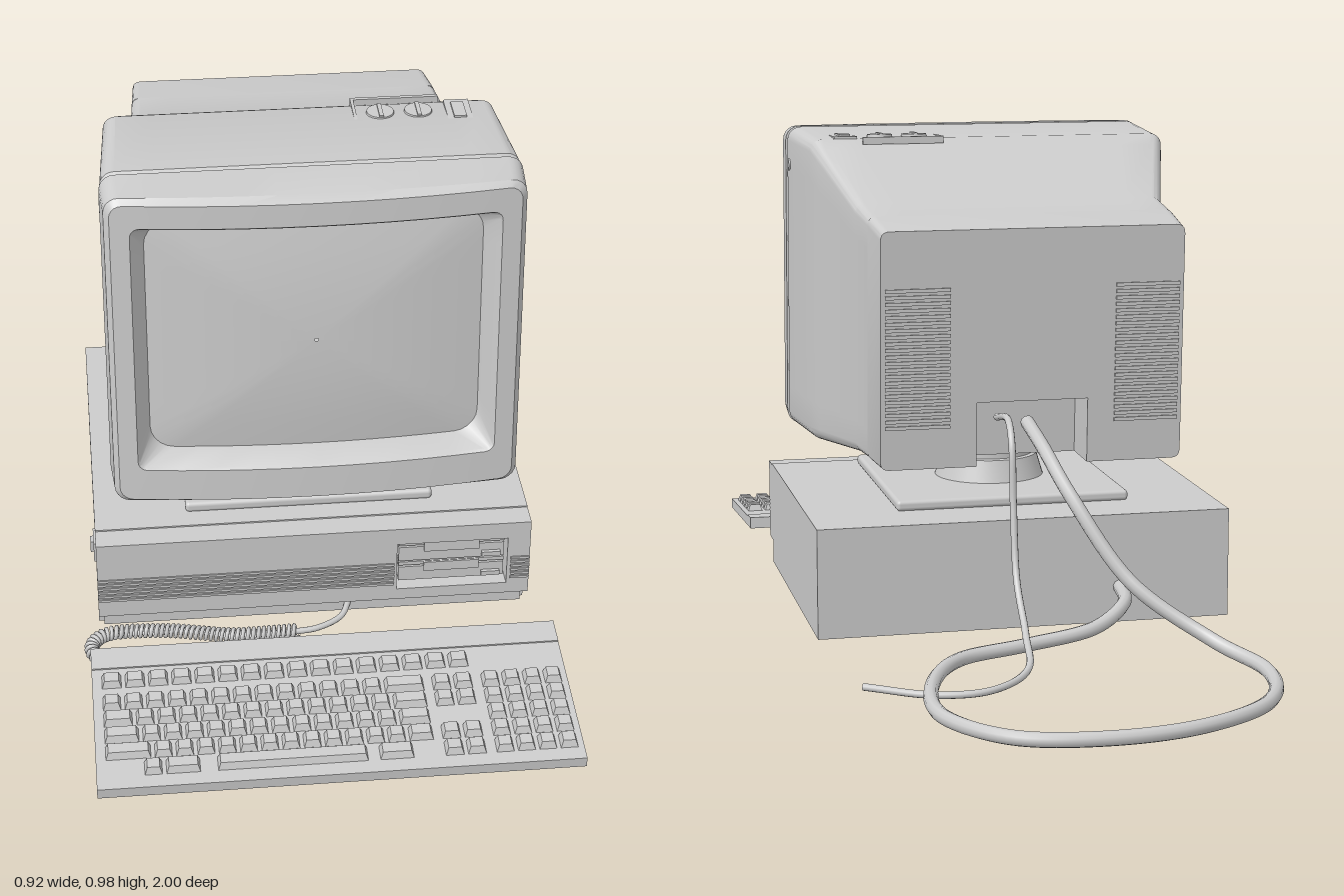
import * as THREE from 'three';
import { mergeGeometries, toCreasedNormals } from 'three/addons/utils/BufferGeometryUtils.js';
import { RoundedBoxGeometry } from 'three/addons/geometries/RoundedBoxGeometry.js';

const mat = new THREE.MeshStandardMaterial({ color: 0xcccccc });

function add(parent, name, geo, x = 0, y = 0, z = 0) {
  const m = new THREE.Mesh(geo, mat);
  m.name = name;
  m.position.set(x, y, z);
  parent.add(m);
  return m;
}
const box = (w, h, d) => new THREE.BoxGeometry(w, h, d);
// box given by its limits
function span(parent, name, x0, x1, y0, y1, z0, z1) {
  return add(parent, name, box(x1 - x0, y1 - y0, z1 - z0), (x0 + x1) / 2, (y0 + y1) / 2, (z0 + z1) / 2);
}
const tilt = (y) => -0.05 * (y - 0.65); // backward lean of the monitor

// rounded rectangle ring [halfWidth, yLow, yHigh, radius, z, bulge]
function ring([hw, y0, y1, r, z, bulge = 0]) {
  const c = [[hw - r, y1 - r], [r - hw, y1 - r], [r - hw, y0 + r], [hw - r, y0 + r]];
  const arc = (i, k) => {
    const a = (i + k / 5) * Math.PI / 2;
    return [c[i][0] + r * Math.cos(a), c[i][1] + r * Math.sin(a)];
  };
  const pts = [];
  for (let i = 0; i < 4; i++) {
    for (let k = 0; k <= 5; k++) pts.push(arc(i, k));
    const a = arc(i, 5), b = arc((i + 1) % 4, 0);
    for (let j = 1; j < 10; j++) pts.push([a[0] + (b[0] - a[0]) * j / 10, a[1] + (b[1] - a[1]) * j / 10]);
  }
  return pts.map(([x, y]) => [x, y, z + bulge * (1 - (x / 0.39) ** 2) + tilt(y)]);
}

// skin over rings running from the screen outwards and backwards
function loft(defs, cap = false, crease = 0.45) {
  const rings = defs.map(ring), pos = [], n = rings[0].length;
  for (let i = 0; i < rings.length - 1; i++) {
    for (let j = 0; j < n; j++) {
      const k = (j + 1) % n;
      const a = rings[i][j], b = rings[i][k], c = rings[i + 1][j], d = rings[i + 1][k];
      pos.push(...a, ...c, ...b, ...b, ...c, ...d);
    }
  }
  if (cap) {
    const last = rings[rings.length - 1], [, y0, y1, , z] = defs[defs.length - 1], m = (y0 + y1) / 2;
    last.forEach((a, j) => pos.push(0, m, z + tilt(m), ...last[(j + 1) % n], ...a));
  }
  const g = new THREE.BufferGeometry();
  g.setAttribute('position', new THREE.Float32BufferAttribute(pos, 3));
  return toCreasedNormals(g, crease);
}

function cable(parent, name, pts, r, seg = 120) {
  const curve = new THREE.CatmullRomCurve3(pts.map((p) => new THREE.Vector3(...p)));
  return add(parent, name, new THREE.TubeGeometry(curve, seg, r, 10));
}

function buildMonitor() {
  const g = new THREE.Group();
  g.name = 'monitor';
  // curved glass
  add(g, 'screen', loft([0.01, 0.25, 0.5, 0.75, 1].map((s) =>
    [0.32 * s, 0.66 - 0.245 * s, 0.66 + 0.245 * s, 0.045 * s, 0.455 + 0.02 * (1 - s * s), 0.028]), false, 1));
  add(g, 'bezel', loft([
    [0.315, 0.42, 0.902, 0.045, 0.455, 0.028], [0.338, 0.406, 0.915, 0.015, 0.505, 0.028],
    [0.342, 0.402, 0.919, 0.018, 0.51, 0.028], [0.378, 0.336, 0.965, 0.025, 0.51, 0.028],
    [0.388, 0.326, 0.975, 0.03, 0.5, 0.02], [0.393, 0.322, 0.98, 0.03, 0.425],
    [0.386, 0.329, 0.973, 0.025, 0.423], [0.386, 0.329, 0.973, 0.025, 0.415]]));
  add(g, 'shell', loft([
    [0.386, 0.329, 0.973, 0.025, 0.415], [0.391, 0.324, 0.979, 0.028, 0.411],
    [0.377, 0.333, 0.97, 0.025, 0.18], [0.366, 0.335, 0.95, 0.025, 0.14],
    [0.318, 0.345, 0.857, 0.02, -0.03], [0.312, 0.35, 0.843, 0.018, -0.14]], true));

  // rear housing with a cable notch open at the bottom
  const s = new THREE.Shape();
  const w = 0.312, y0 = 0.35, y1 = 0.843, r = 0.018;
  s.moveTo(0.115, y0).lineTo(w - r, y0).quadraticCurveTo(w, y0, w, y0 + r).lineTo(w, y1 - r)
    .quadraticCurveTo(w, y1, w - r, y1).lineTo(r - w, y1).quadraticCurveTo(-w, y1, -w, y1 - r)
    .lineTo(-w, y0 + r).quadraticCurveTo(-w, y0, r - w, y0).lineTo(-0.115, y0)
    .lineTo(-0.115, 0.48).lineTo(0.115, 0.48).closePath();
  const rear = new THREE.ExtrudeGeometry(s, { depth: 0.11, bevelEnabled: false, curveSegments: 5 });
  const p = rear.attributes.position;
  for (let i = 0; i < p.count; i++) {
    const t = 1 - p.getZ(i) / 0.11, y = p.getY(i) - (p.getY(i) > 0.6 ? 0.018 * t : 0);
    p.setXYZ(i, p.getX(i) * (1 - 0.02 * t), y, p.getZ(i) - 0.25 + tilt(y));
  }
  add(g, 'rearHousing', toCreasedNormals(rear, 0.5));
  for (const side of [-1, 1]) {
    for (let i = 0; i < 22; i++) {
      const y = 0.435 + i * 0.013;
      add(g, 'ventSlat', box(0.13, 0.007, 0.008), side * 0.232, y, -0.25 + tilt(y));
    }
    add(g, 'sideCap', new THREE.CylinderGeometry(0.013, 0.013, 0.01, 20).rotateZ(Math.PI / 2), side * 0.388, 0.9, 0.38);
  }

  // adjusters on the top
  const top = new THREE.Group();
  top.name = 'topControls';
  top.position.set(0, 0.97, 0.2);
  top.rotation.x = 0.03;
  g.add(top);
  span(top, 'panelEdge', 0.1, 0.27, -0.012, 0.003, -0.06, -0.052);
  span(top, 'panelEdge', 0.1, 0.106, -0.012, 0.003, -0.06, 0.045);
  for (const x of [0.152, 0.225]) {
    add(top, 'knob', new THREE.CylinderGeometry(0.026, 0.028, 0.012, 24), x, 0, 0);
    span(top, 'knobGrip', x - 0.004, x + 0.004, 0, 0.009, -0.024, 0.024);
    add(top, 'knobMark', box(0.005, 0.008, 0.01), x, 0, 0.05);
  }
  span(top, 'switchFrame', 0.278, 0.326, -0.01, 0.004, -0.035, 0.05);
  span(top, 'rocker', 0.29, 0.314, 0, 0.008, -0.02, 0.035);
  return g;
}

function buildBase() {
  const g = new THREE.Group();
  g.name = 'systemUnit';
  span(g, 'case', -0.43, 0.425, 0, 0.225, -0.18, 0.476);
  // front panel with an opening for the drives
  const s = new THREE.Shape();
  s.moveTo(-0.43, 0.05).lineTo(0.425, 0.05).lineTo(0.425, 0.222).lineTo(-0.43, 0.222).closePath();
  const h = new THREE.Path();
  h.moveTo(0.16, 0.075).lineTo(0.16, 0.185).lineTo(0.38, 0.185).lineTo(0.38, 0.075).closePath();
  s.holes.push(h);
  add(g, 'frontPanel', new THREE.ExtrudeGeometry(s, { depth: 0.05, bevelEnabled: false }), 0, 0, 0.475);
  span(g, 'skirt', -0.42, 0.415, 0.01, 0.05, 0.475, 0.5);
  for (let i = 0; i < 6; i++) {
    const y = 0.087 + i * 0.0095;
    span(g, 'frontRib', -0.43, 0.155, y, y + 0.005, 0.52, 0.528);
    span(g, 'frontRib', 0.387, 0.425, y, y + 0.005, 0.52, 0.528);
  }
  for (const y of [0.17, 0.122]) {
    span(g, 'driveFace', 0.165, 0.375, y - 0.036, y - 0.003, 0.475, 0.512);
    span(g, 'driveFace', 0.165, 0.375, y + 0.001, y + 0.009, 0.475, 0.512);
    span(g, 'driveSlot', 0.17, 0.37, y - 0.004, y + 0.002, 0.475, 0.5);
    span(g, 'driveGrip', 0.215, 0.325, y - 0.013, y + 0.008, 0.475, 0.516);
    span(g, 'ejectButton', 0.33, 0.367, y - 0.031, y - 0.021, 0.5, 0.519);
  }
  span(g, 'sideSwitchFrame', -0.434, -0.43, 0.09, 0.135, 0.35, 0.4);
  span(g, 'sideSwitch', -0.44, -0.43, 0.1, 0.125, 0.36, 0.38);
  // swivel stand
  add(g, 'standPlate', new RoundedBoxGeometry(0.49, 0.022, 0.49, 3, 0.008), -0.005, 0.235, 0.19);
  add(g, 'standNeck', toCreasedNormals(new THREE.LatheGeometry([[0.118, 0.24], [0.114, 0.252],
    [0.102, 0.292], [0.094, 0.294], [0.094, 0.345]].map((q) => new THREE.Vector2(...q)), 40), 0.5), -0.005, 0, 0.185);
  return g;
}

// key with a narrower top
function keyGeo(x0, x1, z) {
  const w = x1 - x0 - 0.007, d = 0.033, k = box(w, 0.015, d), p = k.attributes.position;
  for (let i = 0; i < p.count; i++) {
    if (p.getY(i) > 0) p.setXYZ(i, p.getX(i) - Math.sign(p.getX(i)) * 0.005, p.getY(i), p.getZ(i) * 0.7 - 0.001);
  }
  k.computeVertexNormals();
  return k.translate((x0 + x1) / 2, 0.0285, z);
}

function buildKeyboard() {
  const g = new THREE.Group();
  g.name = 'keyboard';
  g.position.set(0, 0.01, 0.997);
  g.rotation.x = 0.085;
  span(g, 'topPlate', -0.45, 0.455, 0.012, 0.022, -0.36, 0);
  span(g, 'rearLedge', -0.45, 0.455, 0.02, 0.025, -0.36, -0.305);
  span(g, 'rim', -0.45, 0.455, 0, 0.012, -0.02, 0);
  span(g, 'rim', -0.45, 0.455, 0, 0.012, -0.36, -0.34);
  span(g, 'rim', -0.45, -0.43, 0, 0.012, -0.34, -0.02);
  span(g, 'rim', 0.435, 0.455, 0, 0.012, -0.34, -0.02);
  for (const x of [-0.35, 0.35]) span(g, 'foot', x - 0.025, x + 0.025, -0.033, 0.014, -0.31, -0.28);

  const keys = [];
  const row = (x0, x1, n, z) => {
    for (let i = 0; i < n; i++) keys.push(keyGeo(x0 + (x1 - x0) * i / n, x0 + (x1 - x0) * (i + 1) / n, z));
  };
  row(-0.435, 0.275, 16, -0.27);
  [0, 0.02, 0.03, 0.05].forEach((shift, i) => { // main block, staggered
    const z = -0.213 + i * 0.042;
    row(-0.435, -0.394 + shift, 1, z);
    row(-0.394 + shift, 0.1 + shift * 0.6, 12, z);
    row(0.1 + shift * 0.6, 0.182, 1, z);
  });
  row(-0.365, -0.325, 1, -0.045);
  row(-0.325, -0.255, 1, -0.045);
  row(-0.23, 0.055, 1, -0.045); // space bar
  row(0.07, 0.14, 1, -0.045);
  for (let i = 0; i < 5; i++) {
    if (i !== 2) row(0.192, 0.275, 2, -0.213 + i * 0.042);
    row(0.287, 0.447, 4, -0.213 + i * 0.042);
  }
  add(g, 'keys', mergeGeometries(keys));
  return g;
}

// spring-like winding around a path
class Coil extends THREE.Curve {
  constructor(path, turns, radius) { super(); Object.assign(this, { path, turns, radius }); }
  getPoint(t, out = new THREE.Vector3()) {
    const c = this.path.getPointAt(t), d = this.path.getTangentAt(t), a = t * this.turns * Math.PI * 2;
    const s = Math.cos(a) * this.radius;
    return out.set(c.x - d.z * s, c.y + Math.sin(a) * this.radius, c.z + d.x * s);
  }
}

function buildCables() {
  const g = new THREE.Group();
  g.name = 'cables';
  cable(g, 'thickCable', [[-0.01, 0.42, -0.15], [-0.02, 0.385, -0.25], [-0.05, 0.31, -0.345], [-0.15, 0.15, -0.44],
    [-0.29, 0.05, -0.53], [-0.355, 0.025, -0.66], [-0.3, 0.022, -0.84], [-0.14, 0.022, -0.955], [0.04, 0.022, -0.985],
    [0.2, 0.022, -0.945], [0.295, 0.022, -0.8], [0.275, 0.022, -0.6], [0.19, 0.022, -0.45], [0.05, 0.025, -0.395],
    [-0.1, 0.04, -0.355], [-0.18, 0.066, -0.28], [-0.2, 0.075, -0.17]], 0.014, 160);
  cable(g, 'thinCable', [[0.05, 0.43, -0.14], [0.052, 0.445, -0.25], [0.056, 0.41, -0.3], [0.057, 0.28, -0.32],
    [0.06, 0.15, -0.36], [0.065, 0.065, -0.46], [0.09, 0.03, -0.58], [0.18, 0.02, -0.66], [0.28, 0.016, -0.65],
    [0.4, 0.016, -0.57]], 0.007, 90);
  cable(g, 'keyboardCord', [[0.39, 0.035, 0.65], [0.385, 0.02, 0.61], [0.32, 0.013, 0.59], [0.15, 0.012, 0.605],
    [-0.1, 0.012, 0.62], [-0.25, 0.014, 0.63], [-0.39, 0.016, 0.622]], 0.005, 70);
  cable(g, 'plugCord', [[-0.05, 0.016, 0.566], [0.0, 0.016, 0.558], [0.05, 0.02, 0.53], [0.07, 0.03, 0.49]], 0.006, 24);
  const path = new THREE.CatmullRomCurve3([[-0.38, 0.017, 0.622], [-0.435, 0.017, 0.61], [-0.447, 0.017, 0.575],
    [-0.42, 0.017, 0.542], [-0.3, 0.017, 0.54], [-0.17, 0.017, 0.565], [-0.04, 0.017, 0.564]]
    .map((q) => new THREE.Vector3(...q)));
  add(g, 'coiledCord', new THREE.TubeGeometry(new Coil(path, 52, 0.011), 620, 0.0042, 6));
  return g;
}

export function createModel() {
  const model = new THREE.Group();
  model.name = 'desktopComputer';
  model.add(buildMonitor(), buildBase(), buildKeyboard(), buildCables());
  return model;
}
